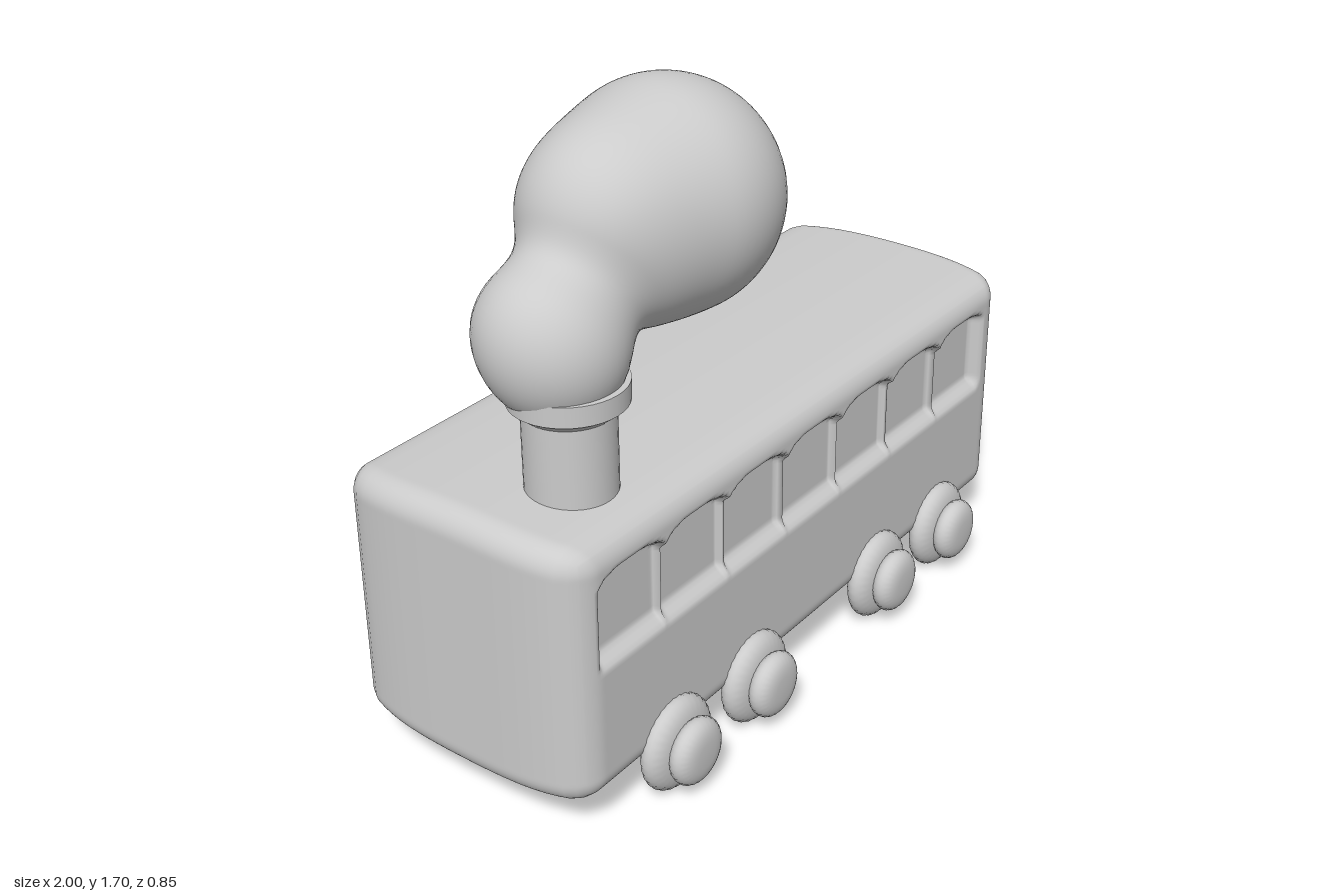
import * as THREE from 'three';
import { mergeVertices } from 'three/addons/utils/BufferGeometryUtils.js';

const material = new THREE.MeshStandardMaterial({ color: 0xcccccc, roughness: 0.8 });
const { clamp, smoothstep } = THREE.MathUtils;

function addMesh(parent, name, geometry, x = 0, y = 0, z = 0) {
  const mesh = new THREE.Mesh(geometry, material);
  mesh.name = name;
  mesh.position.set(x, y, z);
  parent.add(mesh);
  return mesh;
}

// Joins the seams of a deformed geometry and gives it smooth normals
function smooth(geometry) {
  geometry.deleteAttribute('uv');
  geometry.deleteAttribute('normal');
  const merged = mergeVertices(geometry, 1e-5);
  merged.computeVertexNormals();
  return merged;
}

// Depth of the row of seven arched windows at a point of the front wall
function windowDepth(x, y) {
  const left = -0.9, pitch = 0.2535, count = 7;
  const u = (x - left) / pitch;
  if (u < 0 || u > count) return 0;
  const t = Math.abs((u % 1) * 2 - 1);          // 0 mid-window, 1 at a post
  const arch = 0.748 - 0.03 * t ** 4;
  const sides = smoothstep(x, left, left + 0.022) * (1 - smoothstep(x, 0.848, 0.872));
  const head = 1 - smoothstep(y, arch - 0.022, arch);
  const sill = smoothstep(y, 0.485, 0.525);
  const post = 1 - 0.5 * smoothstep(t, 0.91, 0.99);
  return 0.036 * sides * head * sill * post;
}

// Rounded, slightly bulging carriage with recessed windows in front
function bodyGeometry() {
  const half = new THREE.Vector3(1, 0.365, 0.37), r = 0.065;
  const inner = half.clone().subScalar(r);
  const geometry = new THREE.BoxGeometry(2, 0.73, 0.74, 220, 80, 24);
  const pos = geometry.attributes.position;
  const p = new THREE.Vector3(), q = new THREE.Vector3();
  for (let i = 0; i < pos.count; i++) {
    p.fromBufferAttribute(pos, i);
    const front = p.z > half.z - 1e-4;
    q.copy(p).clamp(inner.clone().negate(), inner);
    p.sub(q).normalize().multiplyScalar(r).add(q);
    const n = clamp(p.z / half.z, -1, 1);
    p.x *= 1 - 0.05 * n ** 4;
    p.y = 0.475 + p.y * (1 - 0.06 * n * n);
    if (front) p.z -= windowDepth(p.x, p.y);
    pos.setXYZ(i, p.x, p.y, p.z - 0.05);
  }
  return smooth(geometry);
}

// Puff of smoke: a sphere pushed out to the surface of blended balls
function smokeGeometry() {
  const balls = [
    [-0.295, 1.415, 0.055, 0.292],
    [-0.5, 1.44, 0.05, 0.215],
    [-0.46, 1.34, 0.05, 0.19],
    [-0.725, 1.22, 0.055, 0.178],
    [-0.72, 1.15, 0.085, 0.13],
  ].map(([x, y, z, r]) => ({ c: new THREE.Vector3(x, y, z), r }));
  const k = 0.09;
  const distance = (p) => balls.map(({ c, r }) => p.distanceTo(c) - r).reduce((a, b) => {
    const h = Math.max(k - Math.abs(a - b), 0) / k;
    return Math.min(a, b) - h * h * k / 4;
  });
  const centre = new THREE.Vector3(-0.5, 1.36, 0.055);
  const geometry = new THREE.SphereGeometry(1, 96, 72);
  const pos = geometry.attributes.position;
  const dir = new THREE.Vector3(), p = new THREE.Vector3();
  for (let i = 0; i < pos.count; i++) {
    dir.fromBufferAttribute(pos, i).normalize();
    let near = 0, far = 0.8;
    for (let s = 0; s < 24; s++) {
      const mid = (near + far) / 2;
      if (distance(p.copy(centre).addScaledVector(dir, mid)) < 0) near = mid;
      else far = mid;
    }
    p.copy(centre).addScaledVector(dir, near);
    pos.setXYZ(i, p.x, p.y, p.z);
  }
  return smooth(geometry);
}

// Flattened disc with a ribbed rim, turned to face +z
function discGeometry(radius, halfDepth, ribs) {
  const profile = [];
  for (let i = 0; i <= 16; i++) {
    const a = -Math.PI / 2 + (i / 16) * Math.PI;
    profile.push(new THREE.Vector2(radius * Math.cos(a) ** 0.6, halfDepth * Math.sin(a)));
  }
  profile[0].x = profile[16].x = 0;
  const geometry = new THREE.LatheGeometry(profile, ribs * 2);
  const pos = geometry.attributes.position;
  for (let i = 0; i < pos.count; i++) {
    const x = pos.getX(i), z = pos.getZ(i), rim = Math.hypot(x, z) / radius;
    const s = 1 - 0.012 * smoothstep(rim, 0.75, 0.95) * (1 - Math.cos(ribs * Math.atan2(z, x)));
    pos.setX(i, x * s);
    pos.setZ(i, z * s);
  }
  return smooth(geometry.rotateX(Math.PI / 2));
}

export function createModel() {
  const model = new THREE.Group();
  model.name = 'steamCarriage';

  addMesh(model, 'body', bodyGeometry());

  // Wheels along the front side only
  const tyre = discGeometry(0.127, 0.043, 32);
  const hub = discGeometry(0.09, 0.037, 32);
  [-0.63, -0.295, 0.305, 0.64].forEach((x) => {
    const wheel = new THREE.Group();
    wheel.name = 'wheel';
    wheel.position.set(x, 0.135, 0);
    addMesh(wheel, 'tyre', tyre, 0, 0, 0.328);
    addMesh(wheel, 'hub', hub, 0, 0, 0.388);
    model.add(wheel);
  });

  // Chimney pipe and flared collar
  const chimney = new THREE.Group();
  chimney.name = 'chimney';
  chimney.position.set(-0.72, 0, 0.1);
  addMesh(chimney, 'pipe', new THREE.CylinderGeometry(0.113, 0.113, 0.3, 40), 0, 0.93, 0);
  addMesh(chimney, 'collarFlare', new THREE.CylinderGeometry(0.145, 0.115, 0.025, 40), 0, 1.05, 0);
  addMesh(chimney, 'collar', new THREE.CylinderGeometry(0.146, 0.145, 0.053, 40), 0, 1.088, 0);
  model.add(chimney);

  addMesh(model, 'smoke', smokeGeometry());
  return model;
}
